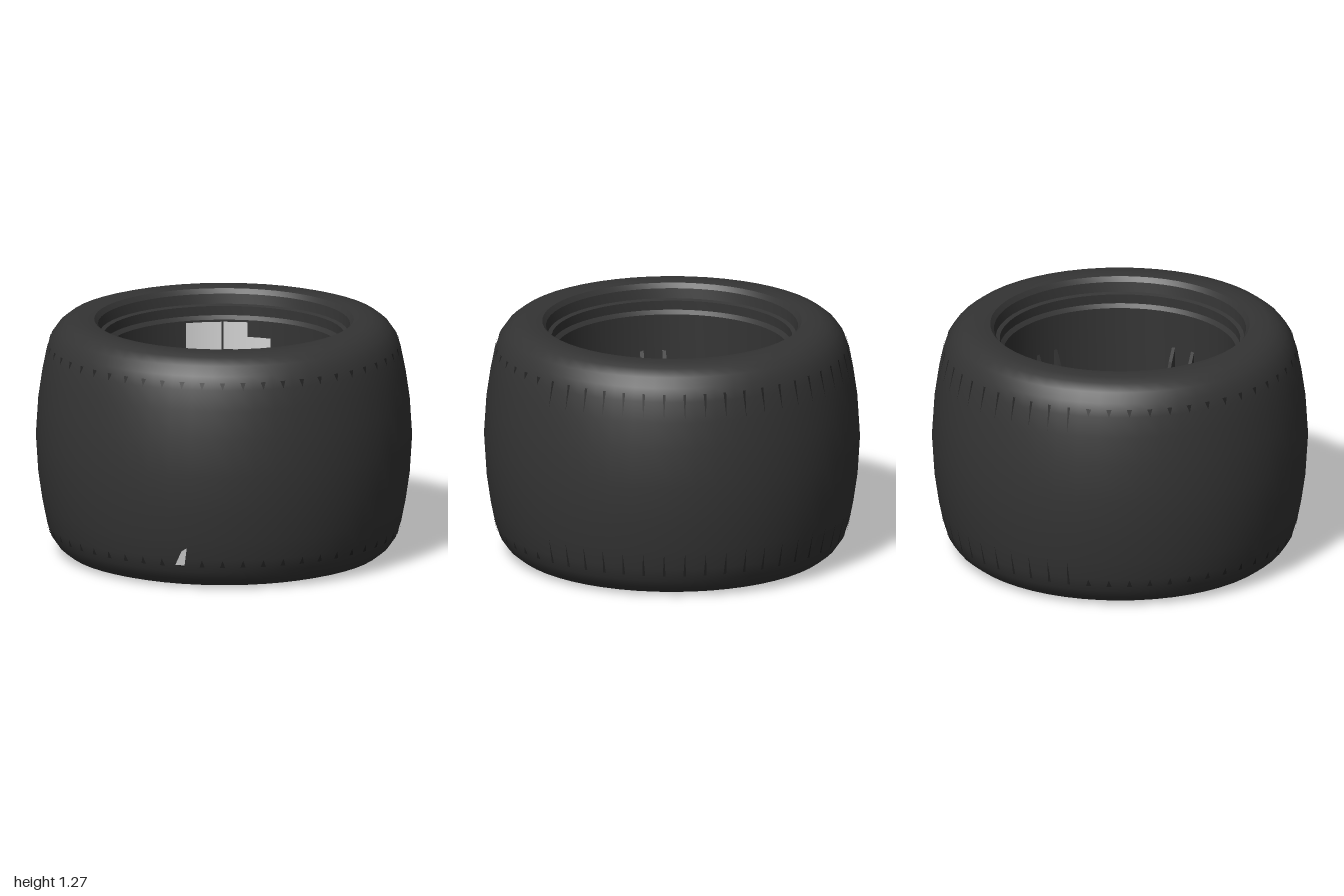
import * as THREE from 'three';
import { toCreasedNormals } from 'three/addons/utils/BufferGeometryUtils.js';

const SEGMENTS = 54;
const DEG = Math.PI / 180;

export function createModel() {
  const model = new THREE.Group();
  const material = (name, color, side = THREE.FrontSide) => {
    const m = new THREE.MeshStandardMaterial({ color, side });
    m.name = name;
    return m;
  };
  const rubber = material('dark rubber', 0x343434);
  const metal = material('dark metal', 0x343434);
  const groove = material('groove black', 0x222222, THREE.DoubleSide);
  const silver = material('worn silver', 0xd4d4d4, THREE.DoubleSide);

  const add = (name, geometry, mat, parent = model) => {
    const mesh = new THREE.Mesh(geometry, mat);
    mesh.name = name;
    parent.add(mesh);
    return mesh;
  };
  const vectors = (points) => points.map(([a, b]) => new THREE.Vector2(a, b));
  const lathe = (points, segments = SEGMENTS, crease = 0.5) => toCreasedNormals(
    new THREE.LatheGeometry(vectors(points), segments), crease);
  const slab = (points, thickness, z) => new THREE.ExtrudeGeometry(
    new THREE.Shape(vectors(points)), { depth: thickness, bevelEnabled: false }).translate(0, 0, z);

  // Tyre: the lower half profile is mirrored to make the upper half
  const H = 1.27;
  const half = [
    [0.66, 0.09], [0.67, 0.03], [0.69, 0.005], [0.72, 0], [0.79, 0], [0.84, 0.015], [0.885, 0.05],
    [0.92, 0.1], [0.943, 0.17], [0.965, 0.28], [0.987, 0.43],
  ];
  const upper = half.map(([r, y]) => [r, H - y]).reverse();
  add('tyre', lathe([...half, [1, H / 2], ...upper]), rubber);

  // Rim barrel with a stepped lip at both openings
  add('rimBarrel', lathe([
    [0.62, 0.16], [0.635, 0.13], [0.635, 0.09], [0.67, 0.08], [0.67, 1.19],
    [0.64, 1.18], [0.64, 1.13], [0.62, 1.11], [0.62, 0.16],
  ], SEGMENTS, 0.3), metal);

  // Tapered tread slits around both shoulders, longer at the back
  const slits = [];
  for (let i = 0; i < SEGMENTS; i++) {
    const a = ((i + 0.5) / SEGMENTS) * Math.PI * 2;
    const at = (r, y, d) => [r * Math.sin(a + d), y, r * Math.cos(a + d)];
    const long = Math.cos(a) < -0.3;
    const tip = long ? [0.967, 0.27] : [0.947, 0.17];
    const w = long ? 0.008 : 0.015;
    for (const flip of [false, true]) {
      const y = (v) => (flip ? H - v : v);
      slits.push(...at(0.936, y(0.13), -w), ...at(0.936, y(0.13), w), ...at(tip[0], y(tip[1]), 0));
    }
  }
  const slitGeometry = new THREE.BufferGeometry();
  slitGeometry.setAttribute('position', new THREE.Float32BufferAttribute(slits, 3));
  slitGeometry.computeVertexNormals();
  add('treadSlits', slitGeometry, groove);

  // Hub with a small bore and bright chips on its shoulders
  add('hub', lathe([
    [0.03, 0.2], [0.1, 0.17], [0.2, 0.24], [0.2, 0.4], [0.12, 0.48], [0.03, 0.48], [0.03, 0.2],
  ], 10, 0.2), metal);
  for (let i = 0; i < 5; i++) {
    for (const [rIn, yIn, rOut, yOut] of [[0.13, 0.477, 0.195, 0.412], [0.12, 0.178, 0.19, 0.227]]) {
      add('hubChip', new THREE.CylinderGeometry(
        yIn > yOut ? rIn : rOut, yIn > yOut ? rOut : rIn, Math.abs(yIn - yOut), 1, 1, true,
        (54 + 72 * i + 30) * DEG, 12 * DEG), silver).position.y = (yIn + yOut) / 2;
    }
  }

  // Five channel-shaped spokes: a sloping floor between two fins that rise at the barrel wall
  const floor = slab([[0.16, 0.24], [0.62, 0.17], [0.62, 0.36], [0.16, 0.4]], 0.1, -0.05);
  const fin = [[0.16, 0.24], [0.62, 0.17], [0.62, 0.92], [0.585, 0.84], [0.5, 0.58], [0.36, 0.45], [0.16, 0.41]];
  const fins = [slab(fin, 0.02, -0.07), slab(fin, 0.02, 0.05)];
  // Worn strips, given per spoke as [start, end] radius on the floor and on the underside
  const topWear = [[0.38, 0.56], [0.34, 0.56], [0.24, 0.32], [0.44, 0.56], null];
  const underWear = [null, null, [0.28, 0.48], null, [0.38, 0.5]];
  const wear = (span, y, slope, width, parent) => {
    if (!span) return;
    const mid = (span[0] + span[1]) / 2;
    const strip = add('spokeWear', new THREE.BoxGeometry(span[1] - span[0], 0.006, width), silver, parent);
    strip.position.set(mid, y + slope * (mid - 0.16), 0);
    strip.rotation.z = Math.atan(slope);
  };
  for (let i = 0; i < 5; i++) {
    const spoke = new THREE.Group();
    spoke.name = `spoke${i + 1}`;
    spoke.rotation.y = Math.PI + i * 72 * DEG;
    add('spokeFloor', floor, metal, spoke);
    fins.forEach((g) => add('spokeFin', g, metal, spoke));
    wear(topWear[i], 0.402, -0.087, 0.05, spoke);
    wear(underWear[i], 0.238, -0.152, 0.09, spoke);
    model.add(spoke);
  }

  // Worn bright patches on the inside of the barrel: start angle, sweep, bottom, top
  for (const [start, sweep, bottom, top] of [
    [205, 18, 0.74, 1.1], [223, 5, 0.8, 0.92], [192, 12, 0.95, 1.1], [180, 12, 0.9, 1.02],
    [238, 4, 0.74, 0.79], [302, 9, 0.2, 0.3], [322, 5, 0.24, 0.31], [13, 7, 0.21, 0.29],
  ]) {
    const patch = add('barrelWear',
      new THREE.CylinderGeometry(0.613, 0.613, top - bottom, 4, 1, true, start * DEG, sweep * DEG), silver);
    patch.position.y = (top + bottom) / 2;
  }

  // Small bright nick in the front of the tread
  const nickGeometry = new THREE.ShapeGeometry(
    new THREE.Shape(vectors([[0.13, 0.14], [0.18, 0.14], [0.2, 0.24], [0.17, 0.22]])));
  const p = nickGeometry.attributes.position;
  for (let i = 0; i < p.count; i++) {
    const r = 0.945 + (p.getY(i) - 0.14) * 0.2;
    p.setZ(i, Math.sqrt(r * r - p.getX(i) ** 2));
  }
  nickGeometry.computeVertexNormals();
  add('treadNick', nickGeometry, silver);

  return model;
}
